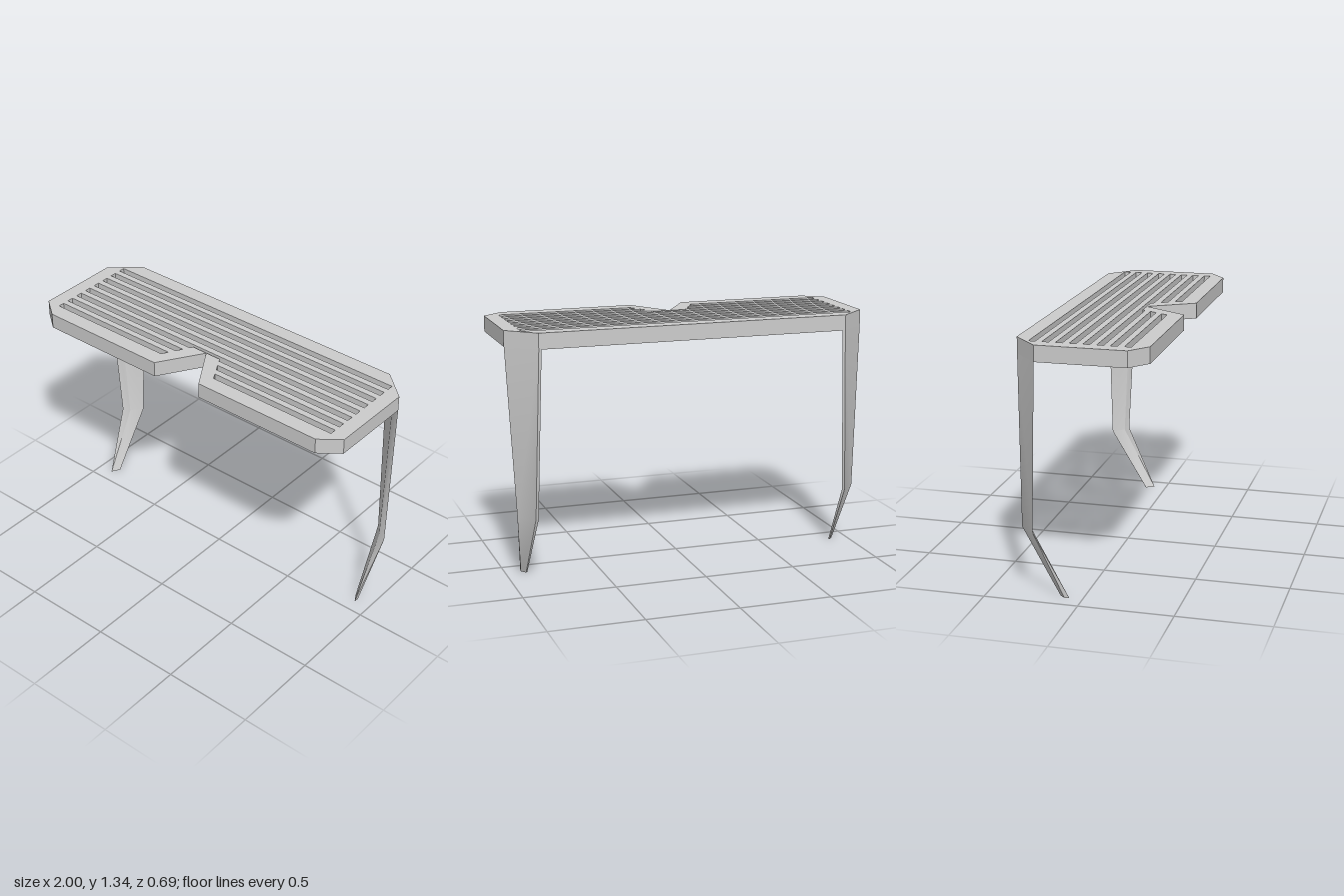
import * as THREE from 'three';
import { toCreasedNormals } from 'three/addons/utils/BufferGeometryUtils.js';

const TOP = 1.34, UNDER = 1.255;
const material = new THREE.MeshStandardMaterial({ color: 0xcccccc });

// Points are given as [x, z]; the shape plane is laid flat afterwards.
const toPoints = (list) => list.map(([x, z]) => new THREE.Vector2(x, -z));

// Slatted panel: chamfered outline with a V notch, cut by eight slots.
function panelGeometry() {
  const half = [[0, 0.106], [0.15, 0.345], [0.89, 0.345], [1, 0.26], [1, -0.21], [0.85, -0.345]];
  const mirrored = half.slice(1).reverse().map(([x, z]) => [-x, z]);
  const shape = new THREE.Shape(toPoints([...half, ...mirrored]));

  const end = 0.92, pitch = 0.0695, width = 0.035, notchTop = 0.104;
  const notchX = (z) => 0.09 + (z - notchTop) * 0.568; // inner border beside the notch
  for (let i = 0; i < 8; i++) {
    const a = -0.262 + i * pitch, b = a + width;
    if (b < notchTop) {
      shape.holes.push(new THREE.Path(toPoints([[-end, a], [end, a], [end, b], [-end, b]])));
    } else if (a < notchTop) {
      shape.holes.push(new THREE.Path(toPoints([
        [-end, a], [end, a], [end, b], [notchX(b), b], [0.09, notchTop],
        [-0.09, notchTop], [-notchX(b), b], [-end, b]])));
    } else {
      for (const s of [-1, 1]) {
        shape.holes.push(new THREE.Path(toPoints([
          [s * end, a], [s * notchX(a), a], [s * notchX(b), b], [s * end, b]])));
      }
    }
  }
  const geometry = new THREE.ExtrudeGeometry(shape, { depth: TOP - UNDER, bevelEnabled: false });
  return geometry.rotateX(-Math.PI / 2).translate(0, UNDER, 0);
}

// Leg: thin diagonal four-point sections at foot, knee and top, joined in a loop.
function legGeometry(side) {
  const sections = [
    { y: 0, ring: [[0.915, -0.095], [0.892, -0.122], [0.885, -0.118], [0.912, -0.07]] },
    { y: 0.355, ring: [[0.96, -0.245], [0.88, -0.327], [0.865, -0.325], [0.915, -0.262]] },
    { y: UNDER, ring: [[1, -0.21], [0.85, -0.345], [0.835, -0.343], [0.95, -0.232]] },
  ];
  const positions = [], index = [];
  for (const { y, ring } of sections) {
    for (const [x, z] of ring) positions.push(side * x, y, z);
  }
  const quad = (a, b, c, d) => index.push(...(side > 0 ? [a, b, c, a, c, d] : [a, c, b, a, d, c]));
  for (let s = 0; s < 2; s++) {
    for (let i = 0; i < 4; i++) {
      const j = (i + 1) % 4, low = s * 4, high = low + 4;
      quad(low + i, low + j, high + j, high + i);
    }
  }
  quad(3, 2, 1, 0); // sole
  quad(8, 9, 10, 11); // top
  const geometry = new THREE.BufferGeometry();
  geometry.setAttribute('position', new THREE.Float32BufferAttribute(positions, 3));
  geometry.setIndex(index);
  return toCreasedNormals(geometry, 0.5);
}

export function createModel() {
  const model = new THREE.Group();
  model.name = 'slattedFrame';
  const add = (name, geometry) => {
    const mesh = new THREE.Mesh(geometry, material);
    mesh.name = name;
    model.add(mesh);
  };
  add('slattedPanel', panelGeometry());
  add('leftLeg', legGeometry(1));
  add('rightLeg', legGeometry(-1));
  return model;
}
